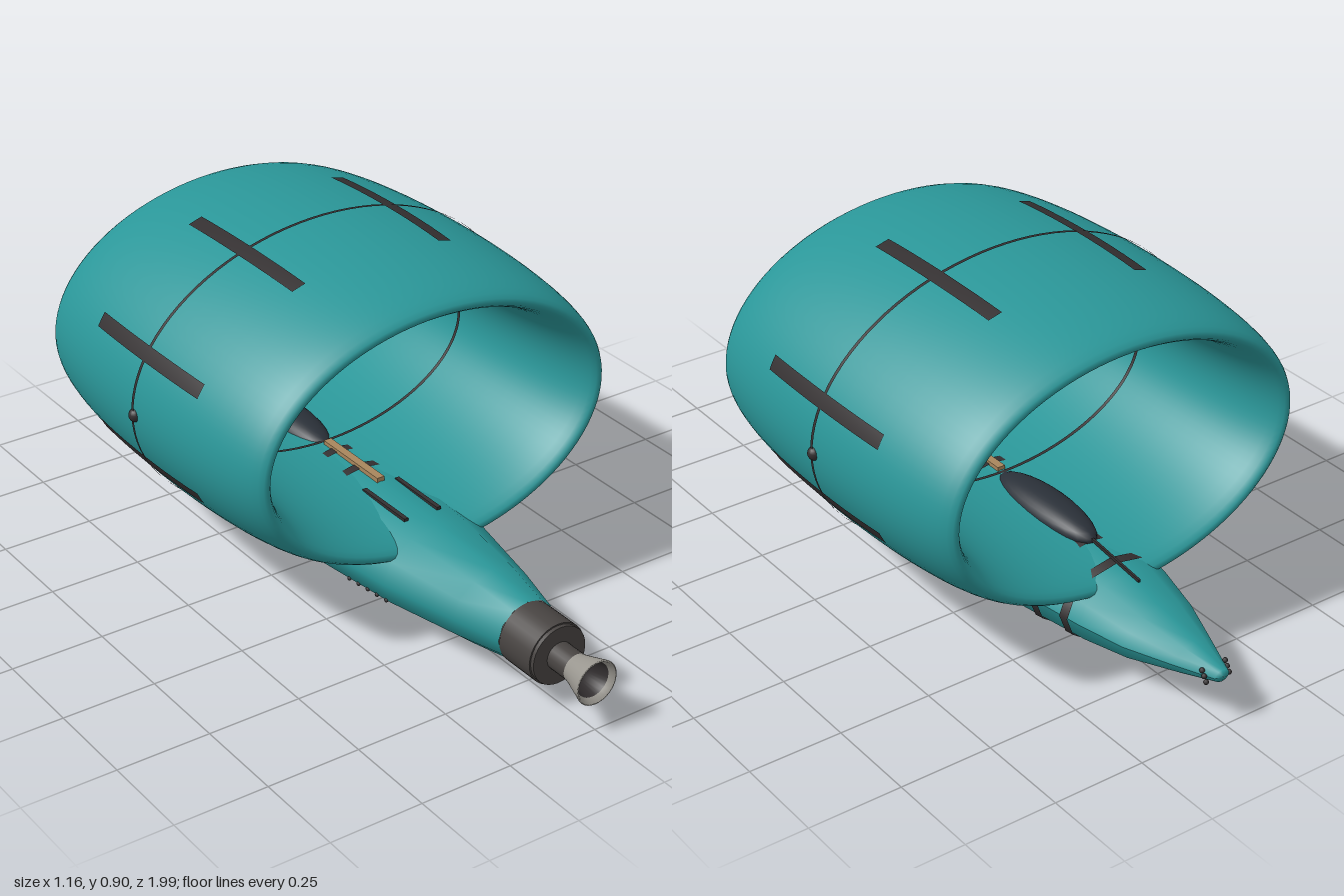
import * as THREE from 'three';
import { ParametricGeometry } from 'three/addons/geometries/ParametricGeometry.js';

const mat = (color, side = THREE.FrontSide) => new THREE.MeshStandardMaterial({ color, side });
const teal = mat(0x2a9698);
const dark = mat(0x332f30, THREE.DoubleSide);
const glass = mat(0x2a3038);
const collarGrey = mat(0x474341);
const steel = mat(0x99968f, THREE.DoubleSide);
const tan = mat(0xa8865c);

// Fuselage stations: z, half width, half height, centre height
const stations = [
  [-0.985, 0.001, 0.001, 0.13], [-0.98, 0.022, 0.016, 0.13], [-0.88, 0.062, 0.042, 0.127],
  [-0.75, 0.112, 0.073, 0.125], [-0.62, 0.142, 0.098, 0.127], [-0.4, 0.178, 0.118, 0.13],
  [-0.1, 0.2, 0.128, 0.133], [0.12, 0.194, 0.126, 0.133], [0.375, 0.165, 0.117, 0.135],
  [0.6, 0.118, 0.1, 0.136], [0.735, 0.085, 0.08, 0.135],
];

function sectionAt(z) {
  let i = 0;
  while (i < stations.length - 2 && z > stations[i + 1][0]) i++;
  const [a, b] = [stations[i], stations[i + 1]];
  const t = (z - a[0]) / (b[0] - a[0]);
  return a.map((value, k) => value + (b[k] - value) * t);
}

function hullPoint(angle, z, out, lift = 0) {
  const [, rx, ry, cy] = sectionAt(z);
  return out.set((rx + lift) * Math.cos(angle), cy + (ry + lift) * Math.sin(angle), z);
}

// Ring wing: elliptical hoop with a long elliptical section
const wing = { rx: 0.498, ry: 0.322, y: 0.512, z: -0.12, half: 0.067, chord: 0.4975 };
function wingPoint(angle, s, out, lift = 0) {
  const t = (wing.half + lift) * Math.cos(s);
  return out.set((wing.rx + t) * Math.cos(angle), wing.y + (wing.ry + t) * Math.sin(angle),
    wing.z + wing.chord * Math.sin(s));
}

export function createModel() {
  const model = new THREE.Group();
  const add = (name, geometry, material, x = 0, y = 0, z = 0) => {
    const mesh = new THREE.Mesh(geometry, material);
    mesh.name = name;
    mesh.position.set(x, y, z);
    model.add(mesh);
    return mesh;
  };

  // Twelve-sided tapered fuselage
  const last = stations.length - 1;
  const hull = new ParametricGeometry((u, v, p) =>
    hullPoint(u * Math.PI * 2, stations[Math.round(v * last)][0], p), 12, last);
  hull.computeVertexNormals();
  add('fuselage', hull, teal);

  // Dark bands around the fuselage
  for (let i = 0; i < 7; i++) {
    const z = 0.04 - i * 0.102;
    add('fuselageBand', new ParametricGeometry((u, v, p) =>
      hullPoint(u * Math.PI * 2, z + (v - 0.5) * 0.026, p, 0.004), 12, 1), dark);
  }

  // Ring wing
  add('ringWing', new ParametricGeometry((u, v, p) =>
    wingPoint(u * Math.PI * 2, v * Math.PI * 2, p), 96, 48), teal);

  // Lengthwise strips on the outside of the ring
  for (const degrees of [20, 69, 114.5, 156.5, 201, 246, 294.5, 340]) {
    const a = THREE.MathUtils.degToRad(degrees);
    const spread = 0.04 / Math.hypot(0.565 * Math.sin(a), 0.389 * Math.cos(a));
    add('wingStrip', new ParametricGeometry((u, v, p) =>
      wingPoint(a + (u - 0.5) * spread, (v - 0.5) * 0.98, p, 0.003), 3, 10), dark);
  }

  // Thin hoops at mid chord, outside and inside
  for (const s of [0, Math.PI]) {
    add(s ? 'innerHoop' : 'outerHoop', new ParametricGeometry((u, v, p) =>
      wingPoint(u * Math.PI * 2, s + (v - 0.5) * 0.02, p, 0.004), 96, 1), dark);
  }

  // Canopy, dorsal rail and nose line
  const canopy = add('canopy', new THREE.SphereGeometry(1, 24, 16), glass, 0, 0.245, -0.3);
  canopy.scale.set(0.06, 0.042, 0.19);
  add('dorsalRail', new THREE.BoxGeometry(0.022, 0.016, 0.24), tan, 0, 0.262, 0.01);
  const noseLine = add('noseLine', new THREE.BoxGeometry(0.006, 0.008, 0.19), dark, 0, 0.237, -0.575);
  noseLine.rotation.x = -0.12;

  // Mirrored details
  for (const side of [-1, 1]) {
    add('dorsalStrip', new THREE.BoxGeometry(0.012, 0.008, 0.18), dark, side * 0.05, 0.25, 0.22);
    add('wingNode', new THREE.SphereGeometry(0.018, 16, 12), dark, side * 0.56, wing.y, wing.z);
    add('sideLight', new THREE.SphereGeometry(0.009, 10, 8), steel, side * 0.199, 0.133, -0.05);
    for (let i = 0; i < 3; i++) {
      add('noseJet', new THREE.SphereGeometry(0.007, 8, 6), dark,
        side * 0.035, 0.118 + i * 0.012, -0.965 + i * 0.008);
    }
    for (let i = 0; i < 5; i++) {
      const p = hullPoint(-Math.PI / 2 + side * 1.05, 0.22 + i * 0.035, new THREE.Vector3());
      add('bellyPort', new THREE.SphereGeometry(0.006, 8, 6), dark, p.x, p.y, p.z);
    }
  }

  // Engine collar, neck and hollow nozzle, turned around z
  const turned = (name, points, material) => {
    const geometry = new THREE.LatheGeometry(points.map(([r, z]) => new THREE.Vector2(r, z)), 32);
    geometry.rotateX(Math.PI / 2);
    add(name, geometry, material, 0, 0.132, 0);
  };
  const collar = new THREE.CylinderGeometry(0.082, 0.082, 0.115, 32).rotateX(Math.PI / 2);
  add('engineCollar', collar, collarGrey, 0, 0.132, 0.792);
  for (const z of [0.73, 0.854]) {
    const rim = new THREE.CylinderGeometry(0.078, 0.078, 0.012, 32).rotateX(Math.PI / 2);
    add('collarRim', rim, collarGrey, 0, 0.132, z);
  }
  const neck = new THREE.CylinderGeometry(0.037, 0.037, 0.08, 24).rotateX(Math.PI / 2);
  add('engineNeck', neck, collarGrey, 0, 0.132, 0.893);
  turned('nozzle', [[0.037, 0.922], [0.04, 0.935], [0.06, 0.998], [0.055, 1.0], [0.046, 0.985]], steel);
  turned('nozzleThroat', [[0.046, 0.985], [0.034, 0.937], [0.001, 0.936]], dark);

  return model;
}
